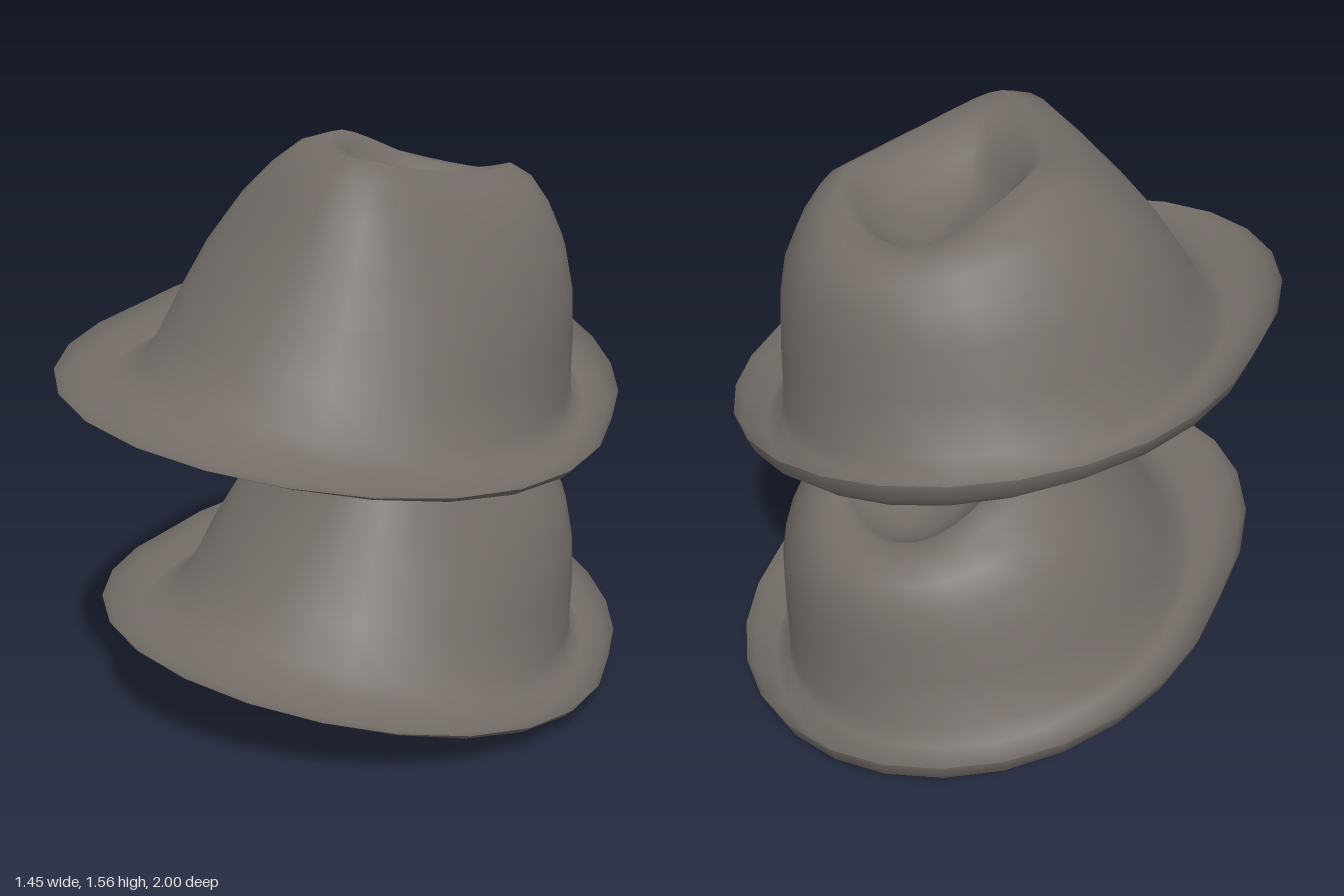
import * as THREE from 'three';

const felt = new THREE.MeshStandardMaterial({ color: 0x746d68, side: THREE.DoubleSide });
felt.name = 'greyBrownFelt';

// Each ring: half width, front z, widest z, back z, y at front / side / back, pinch of the front
const BRIM = [
  [0.725, 0.89, -0.05, -0.90, 0.075, 0.035, 0.09, -0.19], // turned-up lip
  [0.705, 0.87, -0.05, -0.89, 0.065, 0.0, 0.045, -0.18],
  [0.64, 0.82, -0.05, -0.84, 0.055, -0.03, 0.0, -0.16], // fold
  [0.605, 0.73, -0.05, -0.77, 0.07, -0.01, 0.02, -0.08],
  [0.585, 0.65, -0.06, -0.74, 0.10, 0.03, 0.06, 0], // root of the crown
];
const CROWN = [
  BRIM[4],
  [0.56, 0.57, -0.08, -0.71, 0.19, 0.17, 0.20, 0.07],
  [0.525, 0.495, -0.11, -0.69, 0.31, 0.30, 0.31, 0.15],
  [0.475, 0.42, -0.14, -0.67, 0.43, 0.41, 0.395, 0.23],
  [0.41, 0.365, -0.17, -0.635, 0.535, 0.50, 0.455, 0.3],
  [0.34, 0.30, -0.2, -0.575, 0.62, 0.57, 0.495, 0.35],
  [0.265, 0.21, -0.23, -0.51, 0.65, 0.60, 0.50, 0.42], // ridge
  [0.22, 0.09, -0.25, -0.475, 0.625, 0.565, 0.48, 0.5],
  [0.175, 0.01, -0.26, -0.43, 0.56, 0.505, 0.455, 0.55], // teardrop dent
  [0.10, -0.09, -0.26, -0.36, 0.48, 0.465, 0.44, 0.4],
  [0, -0.26, -0.26, -0.26, 0.455, 0.455, 0.455, 0],
];
const SIDES = 28;
const LEAN = 0.035; // sideways drift of the crown with height
const SWING = 0.27; // sideways drift of the brim's front and back

// Skins a stack of egg-shaped rings
function skinRings(rings) {
  const pos = [], index = [];
  rings.forEach(([w, zf, zm, zb, yf, ys, yb, pinch], i) => {
    for (let j = 0; j < SIDES; j++) {
      const a = (j / SIDES) * Math.PI * 2, c = Math.cos(a), front = c > 0;
      const y = ys + ((front ? yf : yb) - ys) * c * c;
      const drift = LEAN * Math.max(y, 0) - 0.005 - SWING * Math.max(w - 0.585, 0) * c * c;
      pos.push(
        w * Math.sin(a) * (front ? 1 - pinch * c : 1) + drift,
        y,
        zm + (front ? zf - zm : zm - zb) * c,
      );
      if (i === rings.length - 1) continue;
      const p = i * SIDES + j, q = i * SIDES + ((j + 1) % SIDES);
      index.push(p, q, p + SIDES, q, q + SIDES, p + SIDES);
    }
  });
  const geo = new THREE.BufferGeometry();
  geo.setAttribute('position', new THREE.Float32BufferAttribute(pos, 3));
  geo.setIndex(index);
  geo.computeVertexNormals();
  return geo;
}

// Averages the normals where brim and crown meet, so the felt flows on smoothly
function blendSeam(brimGeo, crownGeo) {
  const bn = brimGeo.attributes.normal, cn = crownGeo.attributes.normal;
  const start = (BRIM.length - 1) * SIDES;
  for (let j = 0; j < SIDES; j++) {
    const n = new THREE.Vector3().fromBufferAttribute(bn, start + j)
      .add(new THREE.Vector3().fromBufferAttribute(cn, j)).normalize();
    bn.setXYZ(start + j, n.x, n.y, n.z);
    cn.setXYZ(j, n.x, n.y, n.z);
  }
}

export function createModel() {
  const model = new THREE.Group();
  model.name = 'stackedHats';
  const brimGeo = skinRings(BRIM), crownGeo = skinRings(CROWN);
  blendSeam(brimGeo, crownGeo);

  function addHat(name, position, pitch, scale) {
    const hat = new THREE.Group();
    hat.name = name;
    const brim = new THREE.Mesh(brimGeo, felt);
    brim.name = 'brim';
    const crown = new THREE.Mesh(crownGeo, felt);
    crown.name = 'crown';
    hat.add(brim, crown);
    hat.position.set(...position);
    hat.rotation.set(pitch, 0, -0.16);
    hat.scale.set(...scale);
    model.add(hat);
  }

  addHat('lowerHat', [0, 0.13, -0.1], 0, [1, 1, 1]);
  addHat('upperHat', [0, 0.89, 0.04], 0.095, [1, 1.03, 1.07]);
  return model;
}
